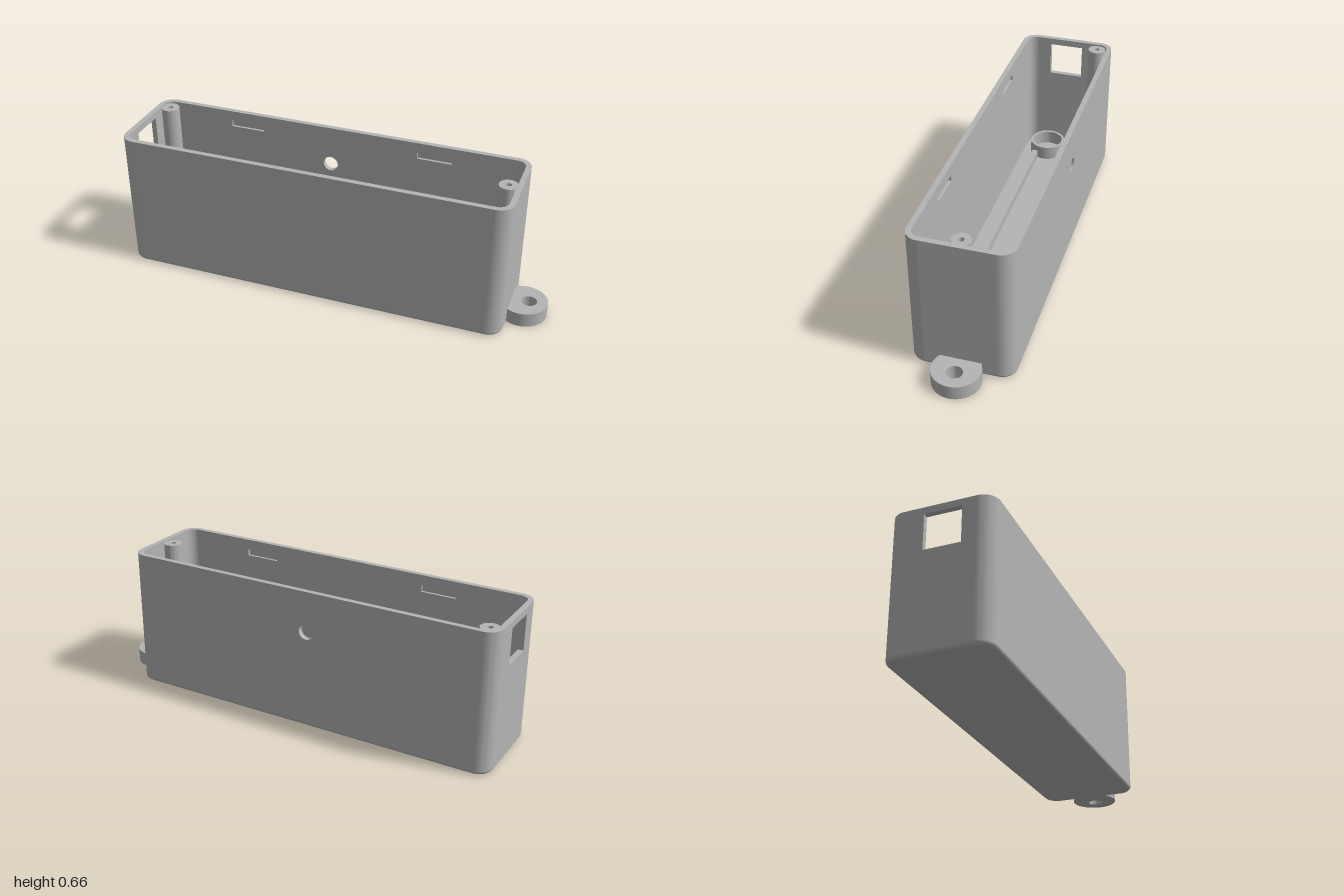
import * as THREE from 'three';
import { toCreasedNormals } from 'three/addons/utils/BufferGeometryUtils.js';

// Box extents, wall thickness and radii
const X0 = -1, X1 = 0.835, Z = 0.232, H = 0.66, T = 0.025, R = 0.07, FILLET = 0.02, FLOOR = 0.03;
const CX = (X0 + X1) / 2;

export function createModel() {
  const group = new THREE.Group();
  const grey = new THREE.MeshStandardMaterial({ color: 0xb4b4b4 });
  grey.name = 'grey plastic';

  const add = (name, geometry) => {
    const mesh = new THREE.Mesh(geometry, grey);
    mesh.name = name;
    group.add(mesh);
    return mesh;
  };
  const extrude = (shape, depth) => toCreasedNormals(
    new THREE.ExtrudeGeometry(shape, { depth, bevelEnabled: false, curveSegments: 32 }), 0.5);
  const circle = (x, y, r) => new THREE.Path().absarc(x, y, r, 0, Math.PI * 2, true);
  const rect = (x0, x1, y0, y1) => new THREE.Shape([[x0, y0], [x1, y0], [x1, y1], [x0, y1]]
    .map(([x, y]) => new THREE.Vector2(x, y)));
  const disc = (x, z, r, holes = []) => {
    const s = new THREE.Shape().absarc(x, z, r, 0, Math.PI * 2, false);
    s.holes.push(...holes);
    return s;
  };
  // Plan shape drawn in x and z, raised between two heights
  const upright = (name, shape, y0, y1) =>
    add(name, extrude(shape, y1 - y0).rotateX(Math.PI / 2).translate(0, y1, 0));

  // Rounded outline in plan, with outward directions
  const outline = [];
  for (let q = 0; q < 4; q++) {
    const sx = q === 0 || q === 3 ? 1 : -1, sz = q < 2 ? 1 : -1;
    for (let i = 0; i <= 12; i++) {
      const a = (q + i / 12) * Math.PI / 2;
      outline.push({
        x: sx > 0 ? X1 - R : X0 + R, z: sz * (Z - R), nx: Math.cos(a), nz: Math.sin(a),
      });
    }
  }
  const planShape = (r) => new THREE.Shape(
    outline.map((p) => new THREE.Vector2(p.x + p.nx * r, p.z + p.nz * r)));

  // Base rim: filleted bottom edge, lofted from rounded rings
  const pos = [], nor = [], idx = [], n = outline.length, steps = 8;
  for (let i = 0; i <= steps + 1; i++) {
    const a = Math.min(i / steps, 1) * Math.PI / 2;
    const r = R - FILLET + FILLET * Math.sin(a);
    const y = i > steps ? FLOOR : FILLET * (1 - Math.cos(a));
    outline.forEach((p, j) => {
      pos.push(p.x + p.nx * r, y, p.z + p.nz * r);
      nor.push(p.nx * Math.sin(a), -Math.cos(a), p.nz * Math.sin(a));
      if (i > steps) return;
      const k = i * n + j, l = i * n + (j + 1) % n;
      idx.push(k, k + n, l, l, k + n, l + n);
    });
  }
  const rim = new THREE.BufferGeometry();
  rim.setAttribute('position', new THREE.Float32BufferAttribute(pos, 3));
  rim.setAttribute('normal', new THREE.Float32BufferAttribute(nor, 3));
  rim.setIndex(idx);
  add('baseRim', rim);
  add('baseUnderside', new THREE.ShapeGeometry(planShape(R - FILLET)).rotateX(Math.PI / 2));
  add('floor', new THREE.ShapeGeometry(planShape(R - T / 2)).rotateX(-Math.PI / 2).translate(0, FLOOR, 0));

  // Rounded corner walls
  for (let q = 0; q < 4; q++) {
    const corner = outline.slice(q * 13, q * 13 + 13);
    const at = (r) => corner.map((p) => new THREE.Vector2(p.x + p.nx * r, p.z + p.nz * r));
    upright('cornerWall', new THREE.Shape([...at(R), ...at(R - T).reverse()]), FLOOR, H);
  }

  // Long walls: outer skin plus inner skin carrying the lid catch recesses
  const skin = T / 2;
  for (const side of [-1, 1]) {
    for (const inner of [false, true]) {
      const s = rect(X0 + R, X1 - R, FLOOR, H);
      if (side < 0) s.holes.push(circle(-0.123, 0.47, 0.036));
      if (inner) {
        for (const d of [-0.467, 0.467]) {
          s.holes.push(rect(CX + d - 0.083, CX + d + 0.083, 0.58, 0.61));
        }
      }
      const near = inner ? Z - T : Z - skin;
      add((side < 0 ? 'back' : 'front') + (inner ? 'WallInner' : 'WallOuter'),
        extrude(s, skin).translate(0, 0, side > 0 ? near : -near - skin));
    }
  }

  // End walls, the right one with a square window
  for (const [name, x] of [['rightEndWall', X0 + T], ['leftEndWall', X1]]) {
    const s = rect(-Z + R, Z - R, FLOOR, H);
    if (x < 0) s.holes.push(rect(-0.07, 0.097, 0.46, 0.628));
    add(name, extrude(s, T).rotateY(-Math.PI / 2).translate(x, 0, 0));
  }

  // Screw posts
  for (const [x, z] of [[-0.938, -0.157], [0.77, 0]]) {
    upright('screwPost', disc(x, z, 0.043, [circle(x, z, 0.013)]), FLOOR, 0.652);
  }

  // Floor ribs and round holder
  for (const z of [-0.13, 0.128]) {
    upright('floorRib', rect(-0.8, 0.695, z - 0.014, z + 0.014), FLOOR, 0.07);
  }
  upright('roundHolder', disc(-0.88, 0.08, 0.09, [circle(-0.88, 0.08, 0.076)]), FLOOR, 0.1);

  // Mounting tab with eyelet
  upright('mountingTab', disc(0.892, 0, 0.108, [circle(0.915, 0, 0.036)]), 0, 0.068);

  return group;
}
